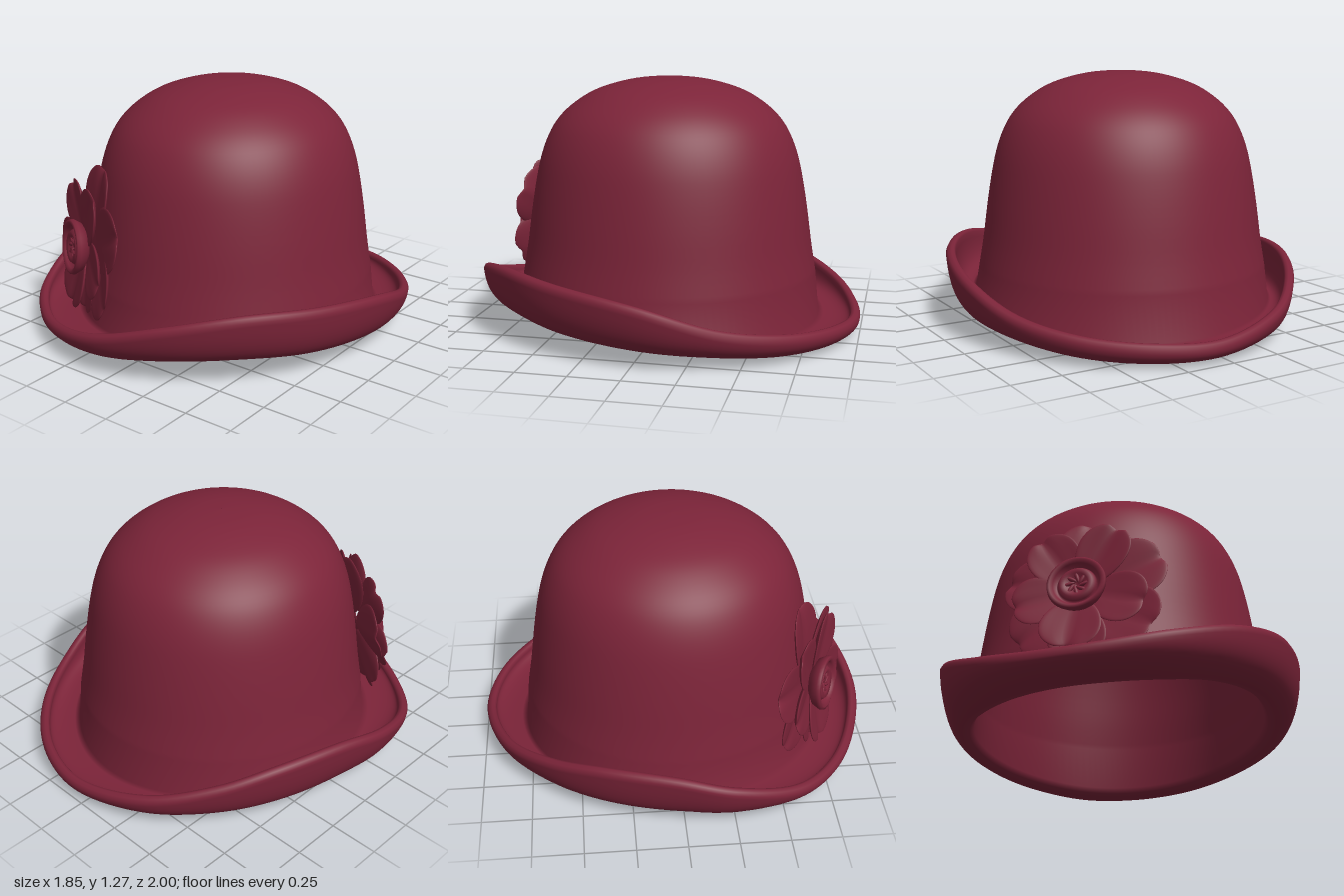
import * as THREE from 'three';

const felt = new THREE.MeshStandardMaterial({ color: 0x7c2439 });
felt.name = 'burgundy felt';

// Brim stations around the hat: rim x, rim z, rim height, underside height
const STATIONS = [
  [0.925, -0.05, 0.31, 0.07], [0.82, 0.4, 0.365, 0.1], [0.6, 0.72, 0.378, 0.12],
  [0.3, 0.92, 0.315, 0.1], [-0.05, 1.0, 0.215, 0.06], [-0.35, 0.94, 0.15, 0.04],
  [-0.61, 0.8, 0.13, 0.035], [-0.82, 0.58, 0.165, 0.035], [-0.925, 0.25, 0.26, 0.04],
  [-0.895, -0.05, 0.32, 0.055], [-0.785, -0.4, 0.315, 0.055], [-0.62, -0.66, 0.25, 0.04],
  [-0.35, -0.89, 0.17, 0.02], [0.05, -1.0, 0.11, 0.0], [0.37, -0.93, 0.12, 0.0],
  [0.65, -0.72, 0.145, 0.015], [0.84, -0.42, 0.2, 0.045],
];

// Crown outline: radius, height
const CROWN = [
  [0.001, 1.27], [0.14, 1.262], [0.26, 1.238], [0.38, 1.195], [0.48, 1.13], [0.55, 1.06],
  [0.598, 0.98], [0.635, 0.88], [0.662, 0.76], [0.688, 0.6], [0.712, 0.42], [0.735, 0.28],
];

// Crown, brim, rolled lip and lining as one skin of swept profiles
function hatGeometry() {
  const N = 128;
  const rimCurve = new THREE.CatmullRomCurve3(STATIONS.map(([x, z, y]) => new THREE.Vector3(x, y, z)), true);
  const lowCurve = new THREE.CatmullRomCurve3(STATIONS.map(([x, z, , b]) => new THREE.Vector3(x, b, z)), true);
  const outline = new THREE.SplineCurve(CROWN.map(p => new THREE.Vector2(...p))).getPoints(40);
  const bend = (a, b, c, n) => new THREE.QuadraticBezierCurve(a, b, c).getPoints(n);
  const V = (x, y) => new THREE.Vector2(x, y);
  const positions = [], index = [];
  let rows = 0;
  for (let j = 0; j < N; j++) {
    const rim = rimCurve.getPoint(j / N), b = lowCurve.getPoint(j / N).y;
    const R = Math.hypot(rim.x, rim.z), c = rim.x / R, s = rim.z / R;
    const k = 1 + 0.035 * s * s;                 // crown is slightly longer than wide
    const y = rim.y, r0 = 0.755 * k;
    const profile = [
      ...outline.map(p => V(p.x * k, p.y)),
      // upper face of the brim
      ...bend(V(r0, b + 0.06), V(R - 0.04, b + 0.035), V(R - 0.05, y - 0.015), 12),
      // rolled lip
      V(R - 0.042, y - 0.003), V(R - 0.028, y), V(R - 0.01, y - 0.007), V(R, y - 0.025),
      // underside
      ...bend(V(R - 0.002, y - 0.045), V(R - 0.02, b - 0.005), V(r0 + 0.02, b), 12),
      V(r0 - 0.015, b + 0.005), V(r0 - 0.035, b + 0.03),
      // lining
      ...outline.slice().reverse().map(p => V(p.x * k * 0.955, p.y - 0.035)),
    ];
    rows = profile.length;
    for (const p of profile) positions.push(p.x * c, p.y, p.x * s);
  }
  for (let j = 0; j < N; j++) for (let i = 0; i < rows - 1; i++) {
    const a = j * rows + i, d = ((j + 1) % N) * rows + i;
    index.push(a, d, a + 1, d, d + 1, a + 1);
  }
  const g = new THREE.BufferGeometry();
  g.setAttribute('position', new THREE.Float32BufferAttribute(positions, 3));
  g.setIndex(index);
  g.computeVertexNormals();
  return g;
}

// Flattened sphere narrowed at the root, notched at the tip and cupped forward
function petalGeometry(width, length, cup) {
  const g = new THREE.SphereGeometry(1, 32, 20);
  const p = g.attributes.position;
  for (let i = 0; i < p.count; i++) {
    const x = p.getX(i), y = p.getY(i), z = p.getZ(i), t = (y + 1) / 2;
    const notch = 0.06 * t * t * Math.exp(-x * x * 25);
    p.setXYZ(i,
      x * (0.72 + 0.33 * t) * width / 2,
      (t - notch) * length,
      z * 0.016 + cup * t * t + 0.025 * x * x - 0.012 * Math.exp(-x * x * 30) * t);
  }
  g.computeVertexNormals();
  return g;
}

function addPetals(parent, name, list, start, z) {
  list.forEach(([deg, tip, width, cup], i) => {
    const a = THREE.MathUtils.degToRad(deg);
    const petal = new THREE.Mesh(petalGeometry(width, tip - start, cup), felt);
    petal.name = name + (i + 1);
    petal.position.set(Math.cos(a) * start, Math.sin(a) * start, z + (i % 2) * 0.012);
    petal.rotation.z = a - Math.PI / 2;
    parent.add(petal);
  });
}

function createFlower() {
  const flower = new THREE.Group();
  flower.name = 'flower';
  // angle, tip distance, width, forward cup
  addPetals(flower, 'backPetal', [
    [86, 0.42, 0.34, 0.0], [24, 0.42, 0.36, 0.02], [-32, 0.41, 0.36, 0.06],
    [-92, 0.35, 0.3, 0.02], [216, 0.38, 0.32, 0.0], [163, 0.38, 0.32, 0.0],
  ], 0.06, 0.015);
  addPetals(flower, 'frontPetal', [
    [124, 0.35, 0.28, 0.04], [60, 0.36, 0.28, 0.04], [-18, 0.33, 0.3, 0.04],
    [-98, 0.32, 0.32, 0.04], [192, 0.32, 0.28, 0.03],
  ], 0.04, 0.06);

  // Rolled cup and tight bud in the middle
  const cup = new THREE.Mesh(new THREE.LatheGeometry([
    [0.07, 0], [0.12, 0.03], [0.138, 0.065], [0.135, 0.082], [0.122, 0.086], [0.108, 0.075], [0.095, 0.05],
    [0.088, 0.062], [0.075, 0.078], [0.055, 0.074], [0.03, 0.058], [0.0, 0.05],
  ].map(p => new THREE.Vector2(...p)), 40), felt);
  cup.name = 'flowerCentre';
  cup.rotation.x = Math.PI / 2;
  cup.position.z = 0.065;
  flower.add(cup);
  for (let i = 0; i < 8; i++) {
    const fold = new THREE.Mesh(new THREE.SphereGeometry(1, 10, 8), felt);
    const a = i * Math.PI / 4;
    fold.name = 'centreFold' + (i + 1);
    fold.scale.set(0.035, 0.01, 0.01);
    fold.position.set(Math.cos(a) * 0.04, Math.sin(a) * 0.04, 0.128);
    fold.rotation.z = a + 0.3;
    flower.add(fold);
  }

  flower.position.set(-0.355, 0.48, 0.625);
  flower.rotation.set(-0.11, -0.51, 0, 'YXZ');
  return flower;
}

export function createModel() {
  const model = new THREE.Group();
  model.name = 'hat';
  const body = new THREE.Mesh(hatGeometry(), felt);
  body.name = 'crownAndBrim';
  model.add(body, createFlower());
  return model;
}
